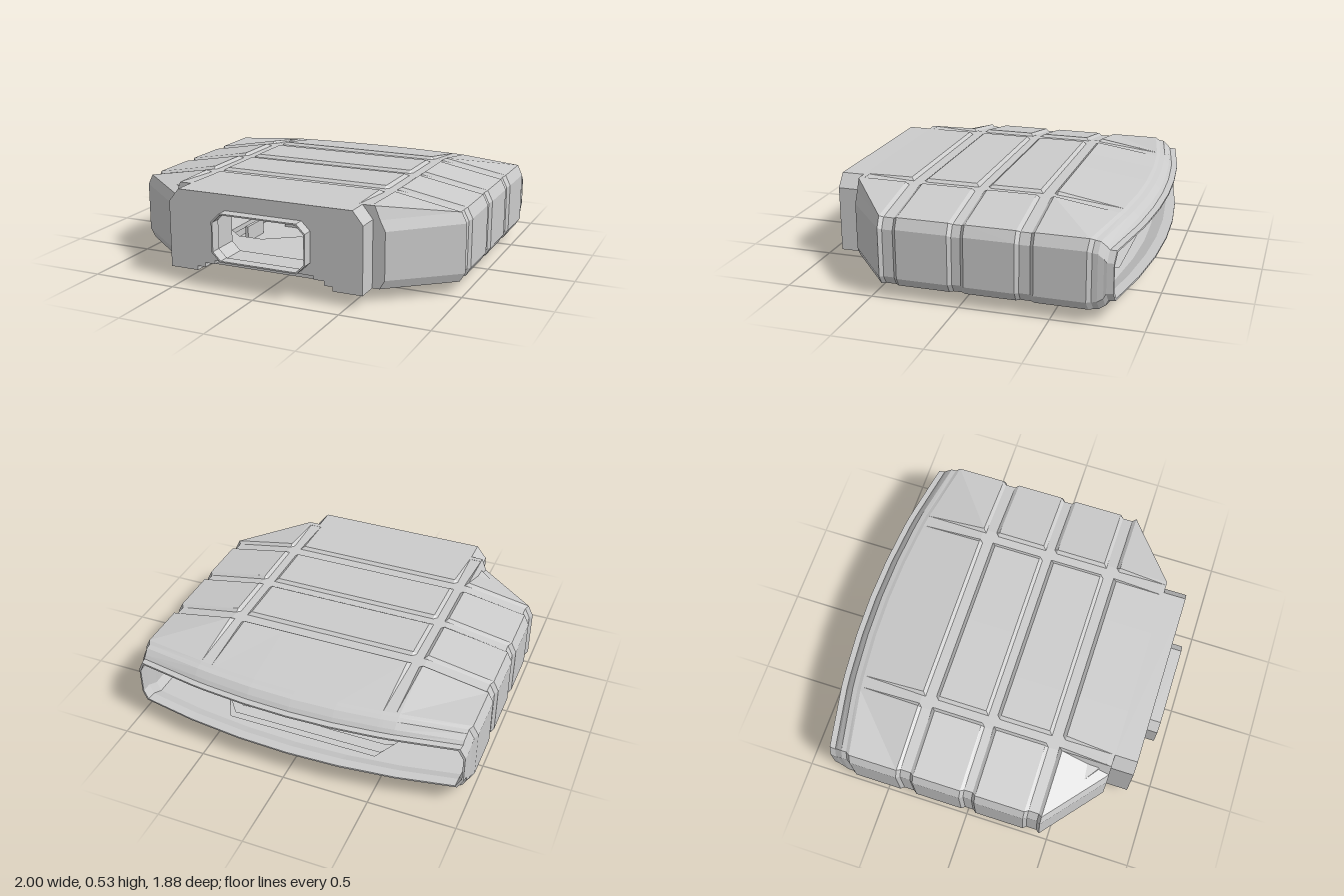
import * as THREE from 'three';

const material = new THREE.MeshStandardMaterial({ color: 0xcccccc, flatShading: true, side: THREE.DoubleSide });
const ARC = 0.12; // bulge of the curved rear edge

function add(parent, name, geometry) {
  const mesh = new THREE.Mesh(geometry, material);
  mesh.name = name;
  parent.add(mesh);
  return mesh;
}

const toV2 = (pts) => pts.map(([x, y]) => new THREE.Vector2(x, y));

// Upright plate: outline in x/y, extruded from z0 to z1
function plate(outline, z0, z1, holes = []) {
  const shape = new THREE.Shape(toV2(outline));
  holes.forEach((h) => shape.holes.push(new THREE.Path(toV2(h))));
  const g = new THREE.ExtrudeGeometry(shape, { depth: z1 - z0, bevelEnabled: false });
  return g.translate(0, 0, z0);
}

// Level slab: outline in x/z, extruded from y0 to y1
function slab(outline, y0, y1, holes = []) {
  const flip = (pts) => pts.map(([x, z]) => [x, -z]);
  return plate(flip(outline), y0, y1, holes.map(flip)).rotateX(-Math.PI / 2);
}

// Complete a half outline (x >= 0) with its mirror image
const mirror = (half) => [...half, ...half.filter(([x]) => x > 0).reverse().map(([x, y]) => [-x, y])];

const rect = (x, z, w, d) => [[x - w / 2, z - d / 2], [x + w / 2, z - d / 2], [x + w / 2, z + d / 2], [x - w / 2, z + d / 2]];

// Rectangle with cut corners
const octagon = (w, y0, y1, c) => mirror([[w - c, y0], [w, y0 + c], [w, y1 - c], [w - c, y1]]);

// Hull cross-section from bottom centre, up the left side, over the top and back
function section({ w, t, s, b = 0.07, g = 0 }) {
  const q = Math.min(0.59, w - 0.05);
  return mirror([
    [0, b], [0.3, b], [Math.min(0.62, w - 0.05), b], [w - 0.03, b], [w, b + 0.05],
    [w, s - 0.06], [w - 0.03, s], [q, t], [q - 0.02, t - g], [q - 0.07, t - g], [q - 0.09, t], [0.25, t], [0, t],
  ]);
}

// Skin consecutive sections; rows marked "open" leave the middle of the floor out
function loft(rows) {
  const pos = [], index = [];
  const loops = rows.map(section);
  const n = loops[0].length;
  rows.forEach((r, k) => loops[k].forEach(([x, y]) => pos.push(x, y, r.z - (r.arc || 0) * (1 - x * x))));
  for (let k = 0; k < rows.length - 1; k++) {
    for (let i = 0; i < n; i++) {
      if (rows[k].open && (i < 2 || i >= n - 2)) continue;
      const a = k * n + i, b = k * n + (i + 1) % n;
      index.push(a, a + n, b, b, a + n, b + n);
    }
  }
  const g = new THREE.BufferGeometry();
  g.setAttribute('position', new THREE.Float32BufferAttribute(pos, 3));
  g.setIndex(index);
  const flat = g.toNonIndexed();
  flat.computeVertexNormals();
  return flat;
}

// Outline of the stepped underside plate; e insets it
function baseOutline(back, e = 0) {
  return mirror([
    [0.12, 0.2 - e], [0.3 + e * 0.3, 0.34 - e], [0.48 - e * 0.5, 0.34 - e], [0.59 - e, 0.24 - e * 0.5],
    [0.59 - e, -0.53], [0.46 - e * 0.5, back + e],
  ]);
}

export function createModel() {
  const model = new THREE.Group();
  model.name = 'hollowShell';

  // Hull: ribbed outside, round the rear rim, then the inside back to the front
  const land = { w: 1, t: 0.53, s: 0.46, g: 0.015 };
  const dip = { w: 0.985, t: 0.515, s: 0.45 };
  const front = { z: 0.74, w: 0.65, t: 0.525, s: 0.45 };
  const rows = [front];
  [[0.45, 0.35], [0.06, -0.03], [-0.31, -0.41]].forEach(([z0, z1], k) => {
    rows.push({ ...land, z: z0, open: k > 0 }, { ...dip, z: z0 - 0.02, open: k > 0 });
    rows.push({ ...dip, z: z1 + 0.02, open: k > 0 }, { ...land, z: z1, open: true });
  });
  const rear = (z, w, t, s, b) => ({ z, arc: ARC, w, t, s, b });
  rows.push(
    rear(-0.69, 1, 0.475, 0.46, 0.07),
    rear(-0.71, 0.985, 0.467, 0.45, 0.07),
    rear(-0.74, 0.985, 0.46, 0.445, 0.075),
    rear(-0.77, 0.98, 0.43, 0.42, 0.095),
    rear(-0.785, 0.98, 0.408, 0.403, 0.123),
    rear(-0.82, 0.975, 0.406, 0.401, 0.126),
    rear(-0.82, 0.965, 0.396, 0.391, 0.136),
    rear(-0.76, 0.965, 0.4, 0.395, 0.132),
    { ...rear(-0.69, 0.96, 0.445, 0.43, 0.1), open: true },
    { z: -0.41, w: 0.96, t: 0.5, s: 0.43, b: 0.1, open: true },
    { z: 0.35, w: 0.96, t: 0.5, s: 0.43, b: 0.1 },
    { z: 0.45, w: 0.96, t: 0.5, s: 0.43, b: 0.1 },
    { z: 0.71, w: 0.61, t: 0.49, s: 0.42, b: 0.1 },
  );
  add(model, 'hull', loft(rows));

  // Front wall, front block with a stepped notch, and window collar
  const windowHole = octagon(0.28, 0.16, 0.435, 0.05);
  add(model, 'frontWall', plate(section(front), 0.71, 0.74, [windowHole]));
  const block = mirror([
    [0.3, 0.14], [0.3, 0.12], [0.36, 0.12], [0.36, 0.095], [0.41, 0.095], [0.41, 0.07],
    [0.58, 0.07], [0.58, 0.45], [0.52, 0.525],
  ]);
  add(model, 'frontBlock', plate(block, 0.74, 0.872, [windowHole]));
  add(model, 'windowCollar', plate(windowHole, 0.872, 0.937, [octagon(0.272, 0.168, 0.427, 0.047)]));

  // Floor panel, recessed over the base plate
  const edge = (x) => [x, -0.69 - ARC * (1 - x * x)];
  const floor = mirror([[0.62, 0.35], edge(0.62), edge(0.3), edge(0)]);
  add(model, 'floor', slab(floor, 0.07, 0.1, [baseOutline(-0.78, 0.03)]));

  // Stepped base: a bottom plate with openings and two rims above it
  const holes = [octagon(0.12, -0.05, 0.19, 0.05)];
  for (const side of [-1, 1]) {
    holes.push(rect(side * 0.36, -0.27, 0.08, 0.08), rect(side * 0.17, -0.28, 0.05, 0.025), rect(side * 0.52, 0.085, 0.04, 0.2));
  }
  add(model, 'basePlate', slab(baseOutline(-0.61), 0, 0.025, holes));
  add(model, 'baseLowerStep', slab(baseOutline(-0.69), 0.025, 0.05, [baseOutline(-0.61, 0.02)]));
  add(model, 'baseUpperStep', slab(baseOutline(-0.775), 0.05, 0.07, [baseOutline(-0.7, 0.02)]));
  add(model, 'baseInsert', slab(holes[0], 0.006, 0.02));

  // Clips standing on the base plate
  for (const side of [-1, 1]) {
    const clip = (name, x, z, w, h, d) =>
      add(model, name, new THREE.BoxGeometry(w, h, d)).position.set(side * x, 0.02 + h / 2, z);
    clip('clipPost', 0.36, -0.21, 0.1, 0.13, 0.03);
    clip('clipHook', 0.305, -0.26, 0.02, 0.13, 0.1);
    clip('smallClip', 0.17, -0.25, 0.05, 0.12, 0.03);
    clip('sideClip', 0.48, 0.085, 0.02, 0.1, 0.2);
  }
  return model;
}
